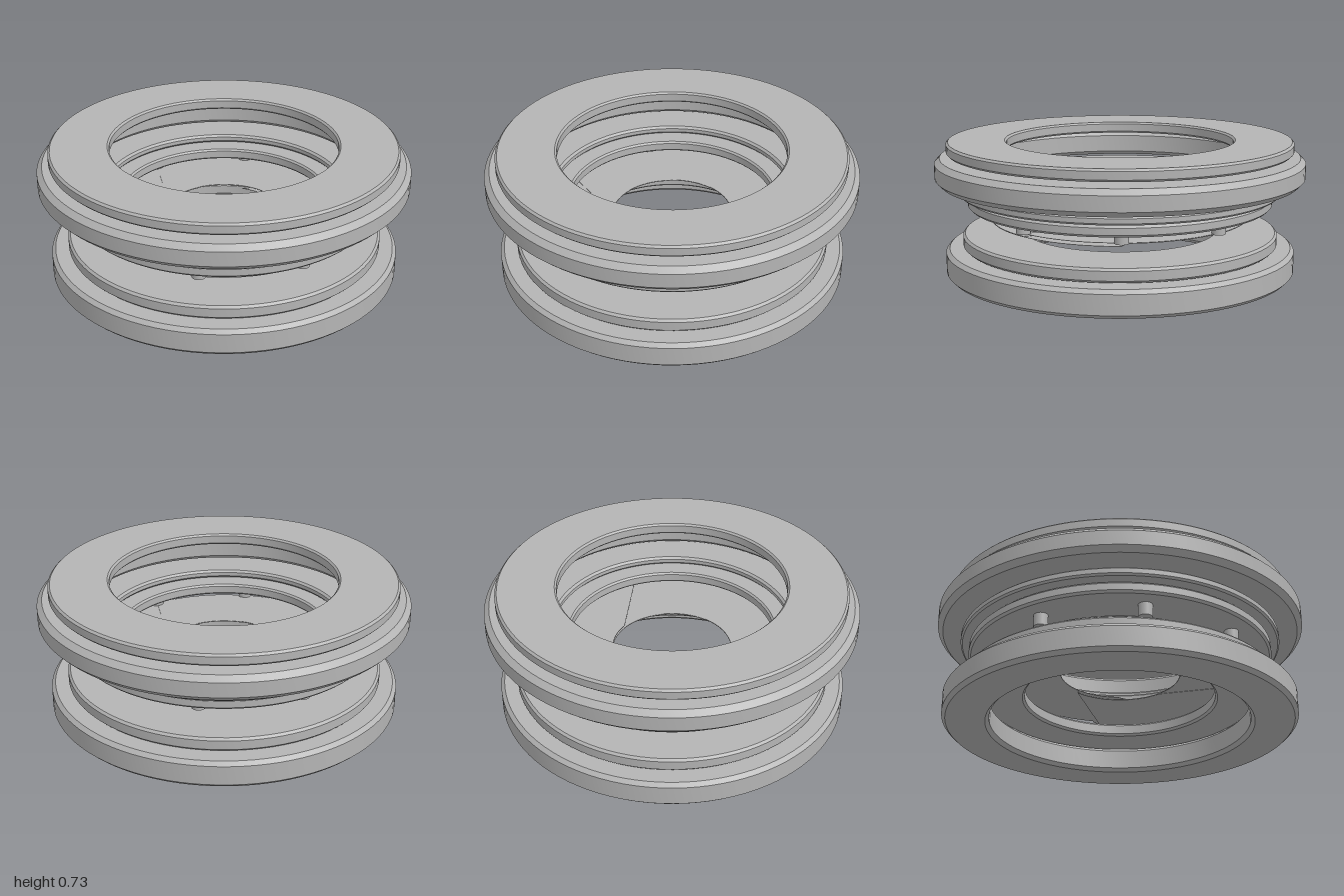
import * as THREE from 'three';
import { toCreasedNormals } from 'three/addons/utils/BufferGeometryUtils.js';

const metal = new THREE.MeshStandardMaterial({ color: 0xb4b4b4 });
metal.name = 'grey metal';

// Flat ring with chamfered edges: inner/outer radius, bottom/top, inner/outer chamfer
function ring(name, ri, ro, y0, y1, ci, co) {
  const profile = [
    [ri, y0 + ci], [ri + ci, y0], [ro - co, y0], [ro, y0 + co],
    [ro, y1 - co], [ro - co, y1], [ri + ci, y1], [ri, y1 - ci], [ri, y0 + ci],
  ].map(([r, y]) => new THREE.Vector2(r, y));
  const mesh = new THREE.Mesh(toCreasedNormals(new THREE.LatheGeometry(profile, 96), 0.5), metal);
  mesh.name = name;
  return mesh;
}

// Thin iris blade covering a quarter turn, its slanted ends running from hole to pin
const HOLE = 0.325, RIM = 0.7;
const innerEnd = THREE.MathUtils.degToRad(-17.6);
const outerEnd = THREE.MathUtils.degToRad(19.6);
function bladeGeometry() {
  const s = new THREE.Shape();
  s.absarc(0, 0, HOLE, innerEnd, innerEnd - Math.PI / 2, true);
  s.absarc(0, 0, RIM, outerEnd - Math.PI / 2, outerEnd, false);
  s.closePath();
  const g = new THREE.ExtrudeGeometry(s, { depth: 0.002, bevelEnabled: false, curveSegments: 24 });
  return g.rotateX(Math.PI / 2);
}

export function createModel() {
  const model = new THREE.Group();
  model.name = 'explodedIrisAssembly';

  // Stacked rings, bottom to top
  model.add(
    ring('baseRing', 0.7, 0.95, 0, 0.145, 0.02, 0.02),
    ring('lowerPlate', 0.515, 0.857, 0.152, 0.225, 0.012, 0.012),
    ring('pinPlate', 0.556, 0.827, 0.37, 0.43, 0.01, 0.012),
    ring('spacerRing', 0.64, 0.873, 0.44, 0.485, 0.012, 0.01),
    ring('outerRing', 0.78, 1.0, 0.505, 0.64, 0.02, 0.028),
    ring('topRing', 0.613, 0.937, 0.662, 0.725, 0.01, 0.011),
  );

  // Overlapping iris blades rising in a spiral, each with a pin up to the plate
  const blade = bladeGeometry();
  const iris = new THREE.Group();
  iris.name = 'iris';
  const count = 8;
  for (let k = 0; k < count; k++) {
    const turn = ((k + 1) * 2 * Math.PI) / count;
    const y = 0.297 + 0.0025 * k;

    const b = new THREE.Mesh(blade, metal);
    b.name = 'irisBlade';
    b.position.y = y;
    b.rotation.y = -turn;

    const h = 0.372 - y;
    const pin = new THREE.Mesh(new THREE.CylinderGeometry(0.037, 0.037, h, 24), metal);
    pin.name = 'bladePin';
    const a = outerEnd + turn;
    pin.position.set(RIM * Math.cos(a), y + h / 2, RIM * Math.sin(a));
    iris.add(b, pin);
  }
  model.add(iris);
  return model;
}
